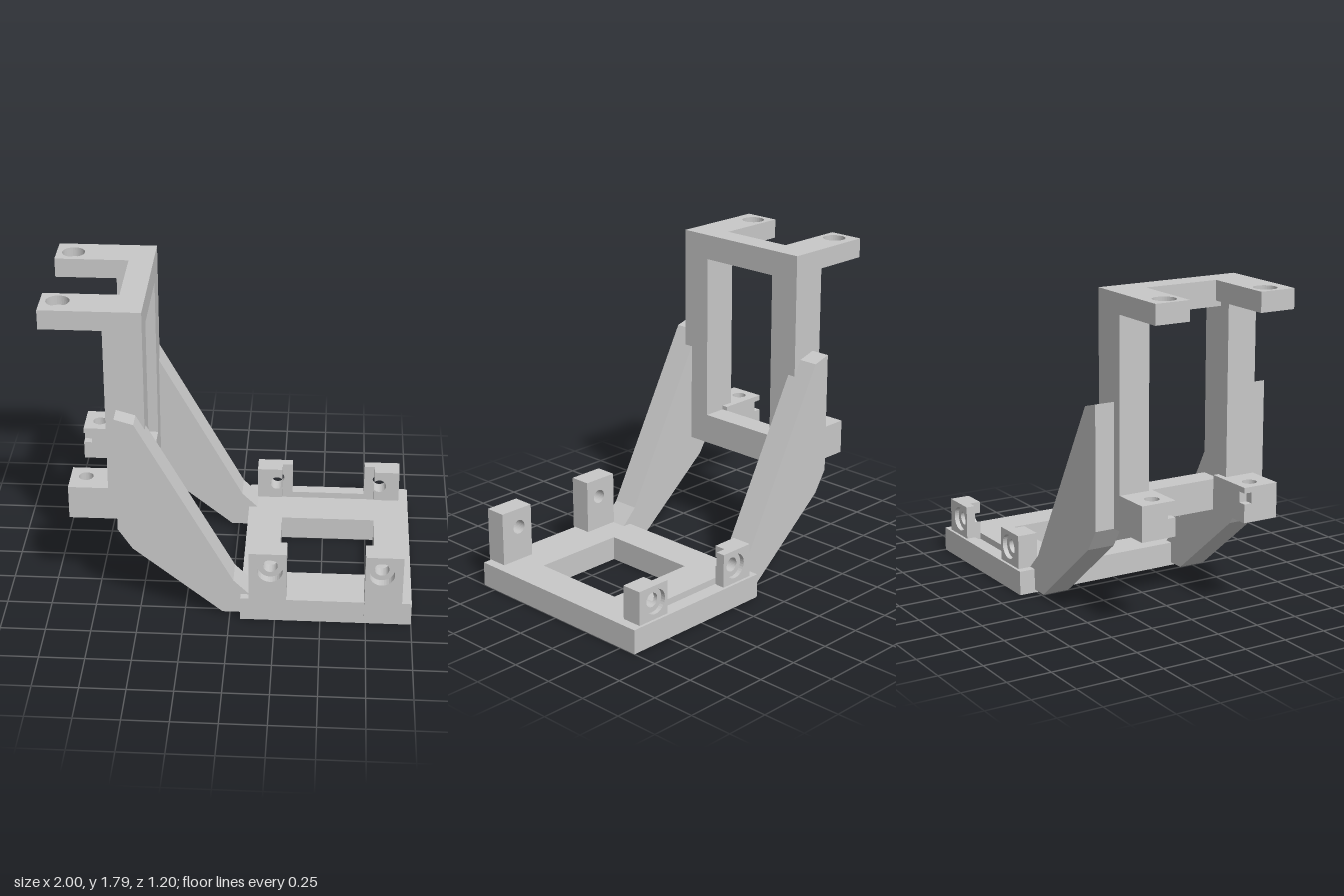
import * as THREE from 'three';

export function createModel() {
  const model = new THREE.Group();
  model.name = 'mountingBracket';
  const grey = new THREE.MeshStandardMaterial({ color: 0xc8c8c8 });
  grey.name = 'plain grey';

  // Every outline and hole is given the same counter-clockwise order
  const path = (pts, Type = THREE.Shape) => {
    const points = pts.map(([x, y]) => new THREE.Vector2(x, y));
    return new Type(THREE.ShapeUtils.isClockWise(points) ? points.reverse() : points);
  };
  const rect = (x0, x1, y0, y1) => [[x0, y0], [x1, y0], [x1, y1], [x0, y1]];
  const circle = (x, y, r) => Array.from({ length: 32 }, (_, i) => {
    const a = (i / 32) * Math.PI * 2;
    return [x + r * Math.cos(a), y + r * Math.sin(a)];
  });
  const group = (name) => {
    const g = new THREE.Group();
    g.name = name;
    model.add(g);
    return g;
  };

  // Outline in x,y extruded between two z values
  function upright(parent, name, outline, holes, z0, z1) {
    const shape = path(outline);
    holes.forEach((h) => shape.holes.push(path(h, THREE.Path)));
    const geo = new THREE.ExtrudeGeometry(shape, { depth: z1 - z0, bevelEnabled: false });
    geo.translate(0, 0, z0);
    const mesh = new THREE.Mesh(geo, grey);
    mesh.name = name;
    parent.add(mesh);
    return mesh;
  }
  // Outline in x,z extruded between two y values
  function flat(parent, name, outline, holes, y0, y1) {
    const flip = (pts) => pts.map(([x, z]) => [x, -z]);
    const mesh = upright(parent, name, flip(outline), holes.map(flip), y0, y1);
    mesh.geometry.rotateX(-Math.PI / 2);
  }
  function box(parent, name, x0, x1, y0, y1, z0, z1) {
    upright(parent, name, rect(x0, x1, y0, y1), [], z0, z1);
  }

  // Base plate with a window and a shallow groove along the back
  const base = group('basePlate');
  const plate = rect(0.06, 1, -0.603, 0.59);
  const windowHole = rect(0.26, 0.797, -0.245, 0.32);
  flat(base, 'plateLower', plate, [windowHole], 0, 0.1);
  flat(base, 'plateUpper', plate, [windowHole, rect(0.25, 0.8, -0.535, -0.47)], 0.1, 0.137);

  // Screw tabs, mirrored about the middle of the plate
  for (const s of [-1, 1]) {
    const X = (d) => 0.526 + s * d;
    const cx = X(0.304);

    const front = group('frontTab');
    const tall = rect(X(0.214), X(0.42), 0.05, 0.44);
    upright(front, 'tabBody', tall, [circle(cx, 0.332, 0.04)], 0.48, 0.55);
    upright(front, 'tabCounterbore', tall, [circle(cx, 0.332, 0.07)], 0.55, 0.602);

    const back = group('backTab');
    const short = rect(X(0.214), X(0.42), 0.137, 0.328);
    upright(back, 'tabCounterbore', short, [circle(cx, 0.235, 0.07)], -0.587, -0.56);
    upright(back, 'tabBody', short, [circle(cx, 0.235, 0.04)], -0.56, -0.535);
    // Notched inner layer, its edge broken by the screw hole
    const open = Math.acos(0.75);
    const arc = Array.from({ length: 25 }, (_, i) => {
      const a = open + (i / 24) * (Math.PI * 2 - 2 * open);
      return [X(0.304 - 0.04 * Math.cos(a)), 0.235 - 0.04 * Math.sin(a)];
    });
    upright(back, 'tabNotched',
      [[X(0.42), 0.137], [X(0.274), 0.137], ...arc, [X(0.274), 0.328], [X(0.42), 0.328]],
      [], -0.535, -0.47);
  }

  // Sloping side arms joining the plate to the tower
  const arm = [[-0.608, 1.22], [-0.505, 1.19], [0.02, 0.226], [0.11, 0.137],
    [0.11, 0.017], [-0.04, 0.017], [-0.53, 0.416], [-0.608, 0.537]];
  upright(model, 'frontArm', arm, [], 0.392, 0.548);
  upright(model, 'backArm', arm, [], -0.511, -0.354);

  // Upright frame: two posts and two cross bars
  const tower = group('tower');
  box(tower, 'frontPost', -0.666, -0.458, 0.537, 1.684, 0.268, 0.443);
  box(tower, 'backPost', -0.666, -0.458, 0.537, 1.684, -0.4, -0.222);
  box(tower, 'lowerBar', -0.594, -0.458, 0.537, 0.708, -0.222, 0.268);
  box(tower, 'upperBar', -0.594, -0.458, 1.652, 1.684, -0.222, 0.268);

  // Forked top with counterbored holes
  const fork = [[-1, -0.4], [-0.458, -0.4], [-0.458, 0.443], [-1, 0.443],
    [-1, 0.235], [-0.594, 0.235], [-0.594, -0.197], [-1, -0.197]];
  const forkHoles = (r) => [circle(-0.907, -0.288, r), circle(-0.907, 0.325, r)];
  flat(tower, 'forkLower', fork, forkHoles(0.04), 1.684, 1.74);
  flat(tower, 'forkUpper', fork, forkHoles(0.063), 1.74, 1.793);

  // Lower bosses with a small slot at the inner corner
  for (const [name, outer, inner, cz] of [['frontBoss', 0.443, 0.235, 0.325], ['backBoss', -0.4, -0.197, -0.288]]) {
    const boss = group(name);
    const full = rect(-0.885, -0.594, outer, inner);
    const slot = inner + Math.sign(outer) * 0.045;
    const notched = [[-0.885, outer], [-0.594, outer], [-0.594, inner],
      [-0.84, inner], [-0.84, slot], [-0.885, slot]];
    flat(boss, 'bossCounterbore', full, [circle(-0.8, cz, 0.063)], 0.537, 0.59);
    flat(boss, 'bossBody', full, [circle(-0.8, cz, 0.04)], 0.59, 0.64);
    flat(boss, 'bossSlot', notched, [circle(-0.8, cz, 0.04)], 0.64, 0.7);
    flat(boss, 'bossTop', full, [circle(-0.8, cz, 0.04)], 0.7, 0.731);
  }

  return model;
}
